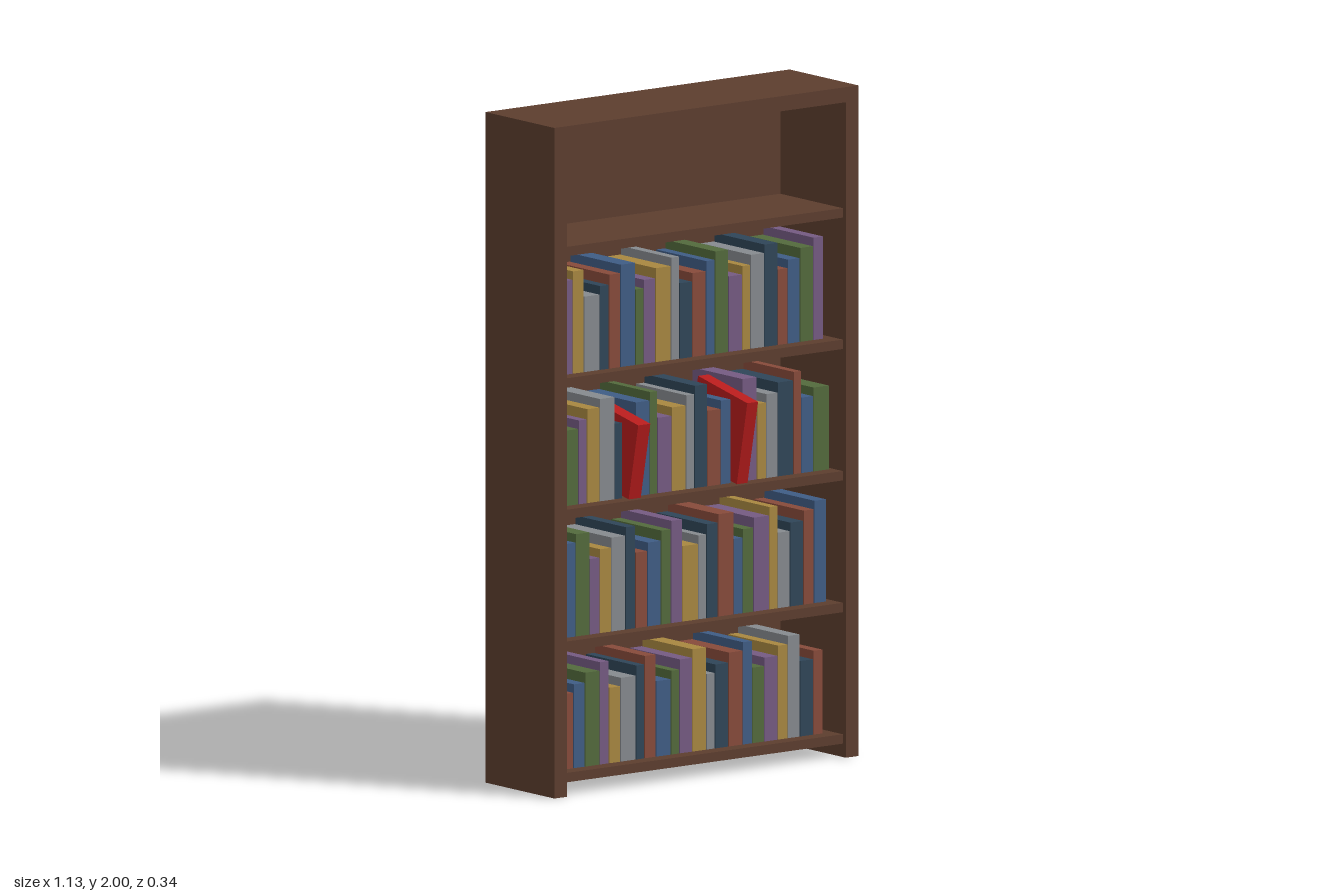
import * as THREE from 'three';

const mat = (name, color) => {
  const m = new THREE.MeshStandardMaterial({ color });
  m.name = name;
  return m;
};

// box given by its min and max corners
function box(name, material, [x0, y0, z0], [x1, y1, z1]) {
  const mesh = new THREE.Mesh(new THREE.BoxGeometry(x1 - x0, y1 - y0, z1 - z0), material);
  mesh.name = name;
  mesh.position.set((x0 + x1) / 2, (y0 + y1) / 2, (z0 + z1) / 2);
  return mesh;
}

export function createModel() {
  const model = new THREE.Group();
  model.name = 'bookcase';

  const wood = mat('wood brown', 0x5c3d2e);
  const red = mat('bright red', 0xb71c1c);
  const covers = [
    mat('purple', 0x755a82), mat('ochre', 0xa88740), mat('grey', 0x868a8e), mat('navy', 0x2f4558),
    mat('rust', 0x874a3a), mat('blue', 0x3f5c85), mat('green', 0x536a3c),
  ];

  // carcass
  const W = 0.565, IN = 0.518, BACK = -0.172, FRONT = 0.157, BACK_IN = -0.156;
  for (const s of [-1, 1]) {
    const a = s < 0 ? -W : IN;
    model.add(box(s < 0 ? 'rightSide' : 'leftSide', wood, [a, 0, BACK], [a + W - IN, 2, FRONT]));
  }
  model.add(box('top', wood, [-IN, 1.955, BACK], [IN, 2, FRONT]));
  model.add(box('backPanel', wood, [-IN, 0, BACK], [IN, 1.955, BACK_IN]));

  // shelves, listed by the height of their upper face
  const shelfTops = [0.068, 0.46, 0.853, 1.245, 1.637];
  for (const y of shelfTops)
    model.add(box('shelf', wood, [-IN, y - 0.028, BACK_IN], [IN, y, 0.143]));

  // books: left edges in thousandths (last value closes the row), first colour, first height
  const heights = [0.225, 0.25, 0.28, 0.305];
  const rows = [
    { color: 4, height: 0, edges: [-481, -444, -402, -347, -312, -270, -212, -180, -138, -82, -50, -3, 50, 82, 132, 185, 220, 265, 315, 352, 397, 447, 482] },
    { color: 5, height: 2, edges: [-481, -436, -384, -347, -304, -251, -214, -169, -119, -82, -40, 19, 50, 93, 151, 185, 225, 283, 315, 360, 410, 450, 495] },
    { color: 6, height: 0, edges: [-481, -426, -394, -347, -291, -262, -214, -161, -132, -79, -26, 5, 53, 103, 140, 183, 238, 272, 315, 373, 402, 447, 506], tilted: { 5: 0.232, 14: 0.254 } },
    { color: 0, height: 2, edges: [-481, -447, -405, -347, -312, -270, -214, -183, -140, -82, -50, -3, 48, 82, 132, 183, 214, 265, 315, 352, 397, 447, 485] },
  ];
  const DEPTH = 0.24, SPINE = 0.095;
  rows.forEach(({ color, height, edges, tilted = {} }, r) => {
    const row = new THREE.Group();
    row.name = 'bookRow';
    row.position.y = shelfTops[r];
    for (let i = 0; i < edges.length - 1; i++) {
      const x0 = edges[i] / 1000, x1 = edges[i + 1] / 1000 - 0.003;
      if (tilted[i]) {
        // red book pulled out, leaning forward on its lower front edge
        const pivot = new THREE.Group();
        pivot.name = 'tiltedBook';
        pivot.position.z = 0.122;
        pivot.rotation.x = 0.2;
        pivot.add(box('redBook', red, [x0, 0, -DEPTH], [x1, tilted[i], 0]));
        row.add(pivot);
      } else {
        const h = heights[(height + i) % 4];
        row.add(box('book', covers[(color + i) % 7], [x0, 0, SPINE - DEPTH], [x1, h, SPINE]));
      }
    }
    model.add(row);
  });

  return model;
}
